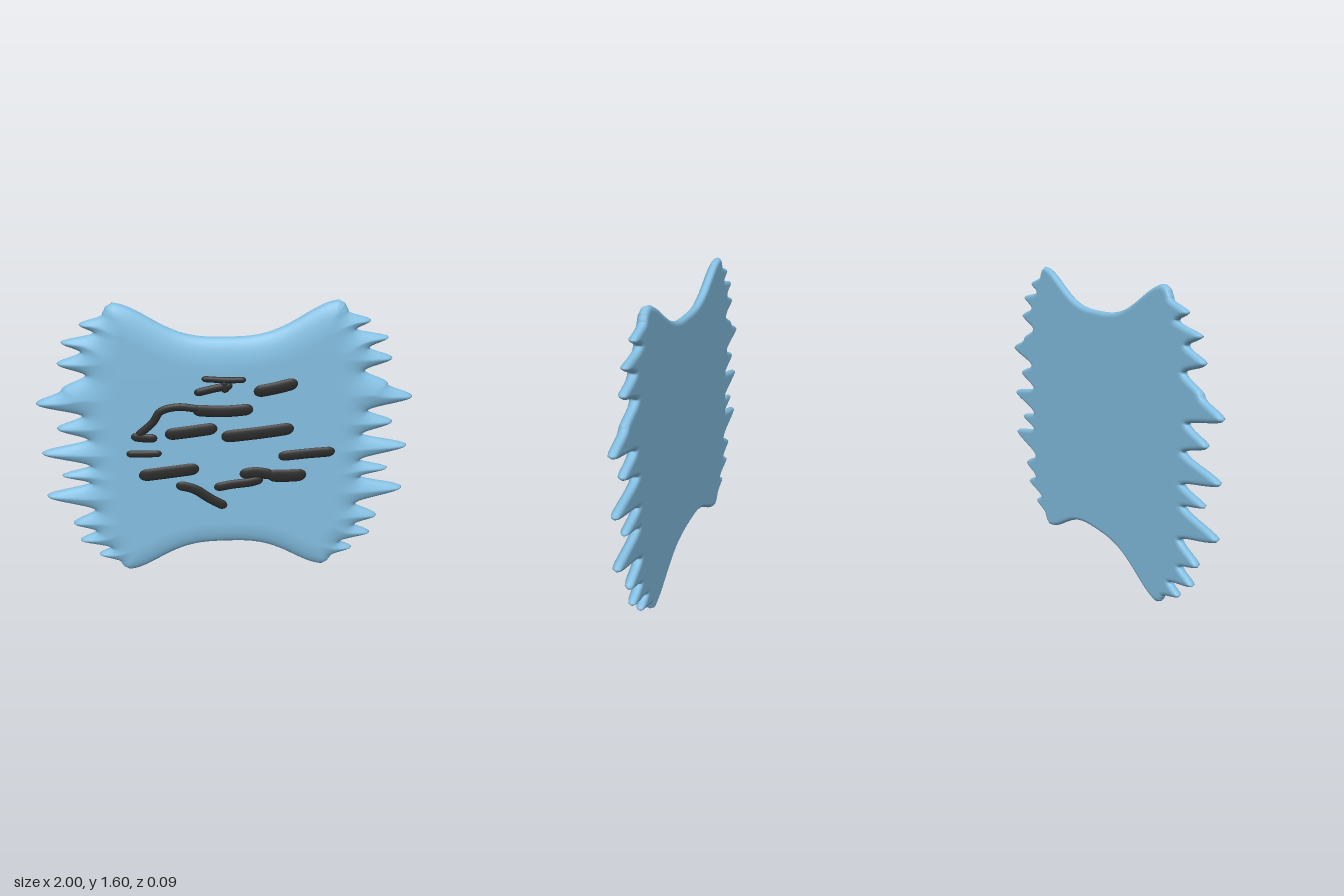
import * as THREE from 'three';
import { mergeVertices } from 'three/addons/utils/BufferGeometryUtils.js';

const HEIGHT = 1.6;

// Side edge as [y, half width], alternating fringe valleys and tips from bottom to top
const FRINGE = [
  [0, 0.57], [0.025, 0.605], [0.055, 0.62], [0.11, 0.74], [0.155, 0.67], [0.21, 0.84], [0.27, 0.745],
  [0.325, 0.87], [0.41, 0.74], [0.51, 1], [0.585, 0.755], [0.635, 0.905], [0.69, 0.745], [0.775, 1],
  [0.85, 0.745], [0.92, 0.905], [0.99, 0.765], [1.065, 1], [1.14, 0.86], [1.22, 0.73], [1.285, 0.87],
  [1.345, 0.745], [1.4, 0.84], [1.445, 0.67], [1.49, 0.74], [1.54, 0.62], [1.575, 0.605], [1.6, 0.57],
];

// Markings: half width, then [x, y] points along the centre line
const MARKS = [
  [0.017, [-0.13, 1.21], [0, 1.2], [0.1, 1.2]],
  [0.022, [-0.17, 1.13], [-0.04, 1.16], [0.03, 1.17]],
  [0.024, [-0.02, 1.2], [-0.01, 1.17], [-0.01, 1.13]],
  [0.035, [0.14, 1.13], [0.25, 1.15], [0.37, 1.18]],
  [0.026, [-0.51, 0.89], [-0.44, 0.88], [-0.37, 0.875]],
  [0.022, [-0.48, 0.89], [-0.39, 0.97], [-0.35, 1.03], [-0.26, 1.055], [-0.14, 1.04]],
  [0.034, [-0.18, 1.035], [-0.02, 1.025], [0.14, 1.035]],
  [0.036, [-0.33, 0.895], [-0.2, 0.91], [-0.05, 0.93]],
  [0.037, [-0.03, 0.875], [0.17, 0.895], [0.36, 0.92]],
  [0.031, [0.28, 0.75], [0.44, 0.765], [0.59, 0.775]],
  [0.021, [-0.54, 0.787], [-0.45, 0.785], [-0.35, 0.785]],
  [0.038, [-0.48, 0.65], [-0.31, 0.67], [-0.15, 0.69]],
  [0.03, [-0.28, 0.59], [-0.18, 0.56], [-0.09, 0.495], [0, 0.44]],
  [0.028, [-0.07, 0.565], [0.04, 0.585], [0.13, 0.595], [0.2, 0.615]],
  [0.034, [0.07, 0.645], [0.16, 0.655], [0.26, 0.635]],
  [0.04, [0.22, 0.635], [0.33, 0.63], [0.44, 0.635]],
];

// Half width of the body at height y, easing between valleys and tips
function sideEdge(y) {
  let i = 0;
  while (i < FRINGE.length - 2 && y > FRINGE[i + 1][0]) i++;
  const [y0, x0] = FRINGE[i], [y1, x1] = FRINGE[i + 1];
  let s = THREE.MathUtils.clamp((y - y0) / (y1 - y0), 0, 1);
  if (x1 < x0) s = 1 - s;
  const ease = Math.pow((1 - Math.cos(Math.PI * s)) / 2, 0.85);
  return Math.min(x0, x1) + Math.abs(x1 - x0) * ease;
}

// Concave dip of the top and bottom edges
function dip(x) {
  const t = Math.min(Math.abs(x) / 0.58, 1);
  return 0.5 * (1 + Math.cos(Math.PI * Math.pow(t, 1.5)));
}

const roundOff = (t) => Math.sqrt(1 - (1 - Math.min(t, 1)) ** 2);

function distanceToEdge(x, y, edge) {
  let best = Infinity;
  for (let i = 0; i < edge.length; i++) {
    const [ax, ay] = edge[i], [bx, by] = edge[(i + 1) % edge.length];
    const dx = bx - ax, dy = by - ay;
    const len = dx * dx + dy * dy;
    const t = len ? Math.max(0, Math.min(1, ((x - ax) * dx + (y - ay) * dy) / len)) : 0;
    const ex = x - ax - t * dx, ey = y - ay - t * dy;
    best = Math.min(best, ex * ex + ey * ey);
  }
  return Math.sqrt(best);
}

// Adds a grid of triangles; flip turns it to face backwards
function addGrid(index, start, cols, rows, flip) {
  for (let j = 0; j < rows; j++) {
    for (let i = 0; i < cols; i++) {
      const a = start + j * (cols + 1) + i, b = a + 1, c = a + cols + 1, d = c + 1;
      if (flip) index.push(a, d, b, a, c, d);
      else index.push(a, b, d, a, d, c);
    }
  }
}

function makeGeometry(position, index) {
  let g = new THREE.BufferGeometry();
  g.setAttribute('position', new THREE.Float32BufferAttribute(position, 3));
  g.setIndex(index);
  g = mergeVertices(g, 1e-5);
  g.computeVertexNormals();
  return g;
}

// Thin cushion with a domed front, a flat back and a rounded rim
function bodyGeometry() {
  const cols = 76, rows = 240, grid = [];
  const crowd = (t) => 0.4 * t + 0.6 * Math.sin((t * Math.PI) / 2);
  for (let j = 0; j <= rows; j++) {
    const s = (j / rows) * 2 - 1;
    const v = 0.5 + 0.5 * (0.8 * s + 0.2 * Math.sin((s * Math.PI) / 2));
    for (let i = 0; i <= cols; i++) {
      const x = crowd((i / cols) * 2 - 1) * sideEdge(v * HEIGHT);
      const low = 0.18 * dip(x), high = HEIGHT - 0.185 * dip(x);
      grid.push([x, low + (high - low) * v]);
    }
  }
  const at = (i, j) => grid[j * (cols + 1) + i];
  const edge = [];
  for (let i = 0; i < cols; i++) edge.push(at(i, 0));
  for (let j = 0; j < rows; j++) edge.push(at(cols, j));
  for (let i = cols; i > 0; i--) edge.push(at(i, rows));
  for (let j = rows; j > 0; j--) edge.push(at(0, j));

  const front = [], back = [], index = [];
  for (const [x, y] of grid) {
    const raw = distanceToEdge(x, y, edge);
    const d = raw < 1e-6 ? 0 : raw;
    front.push(x, y, -0.03 + 0.06 * roundOff(d / 0.16));
    back.push(x, y, -0.03 - 0.02 * roundOff(d / 0.025));
  }
  addGrid(index, 0, cols, rows, false);
  addGrid(index, grid.length, cols, rows, true);
  return makeGeometry(front.concat(back), index);
}

// Low domed ribbon along a curve, with rounded ends
function markGeometry([halfWidth, ...points]) {
  const curve = new THREE.CatmullRomCurve3(points.map(([x, y]) => new THREE.Vector3(x, y, 0)));
  const across = 10, along = 32, position = [], index = [];
  const cap = Math.min(0.35, (halfWidth * 1.3) / curve.getLength());
  for (let i = 0; i <= along; i++) {
    const t = 0.5 - 0.5 * Math.cos((Math.PI * i) / along);
    const p = curve.getPointAt(t), dir = curve.getTangentAt(t);
    const size = roundOff(Math.min(t, 1 - t) / cap);
    for (let k = 0; k <= across; k++) {
      const angle = (Math.PI * k) / across;
      const w = Math.cos(angle) * halfWidth * size;
      position.push(p.x - dir.y * w, p.y + dir.x * w, 0.028 + 0.014 * Math.sin(angle) * size);
    }
  }
  addGrid(index, 0, across, along, false);
  return makeGeometry(position, index);
}

export function createModel() {
  const blue = new THREE.MeshStandardMaterial({ color: 0x84bfe2 });
  blue.name = 'soft blue';
  const black = new THREE.MeshStandardMaterial({ color: 0x2a2a2a });
  black.name = 'charcoal';

  const model = new THREE.Group();
  model.name = 'fringedPanel';

  const body = new THREE.Mesh(bodyGeometry(), blue);
  body.name = 'fringedBody';
  model.add(body);

  const markings = new THREE.Group();
  markings.name = 'markings';
  MARKS.forEach((mark, i) => {
    const mesh = new THREE.Mesh(markGeometry(mark), black);
    mesh.name = `marking${i + 1}`;
    markings.add(mesh);
  });
  model.add(markings);
  return model;
}
